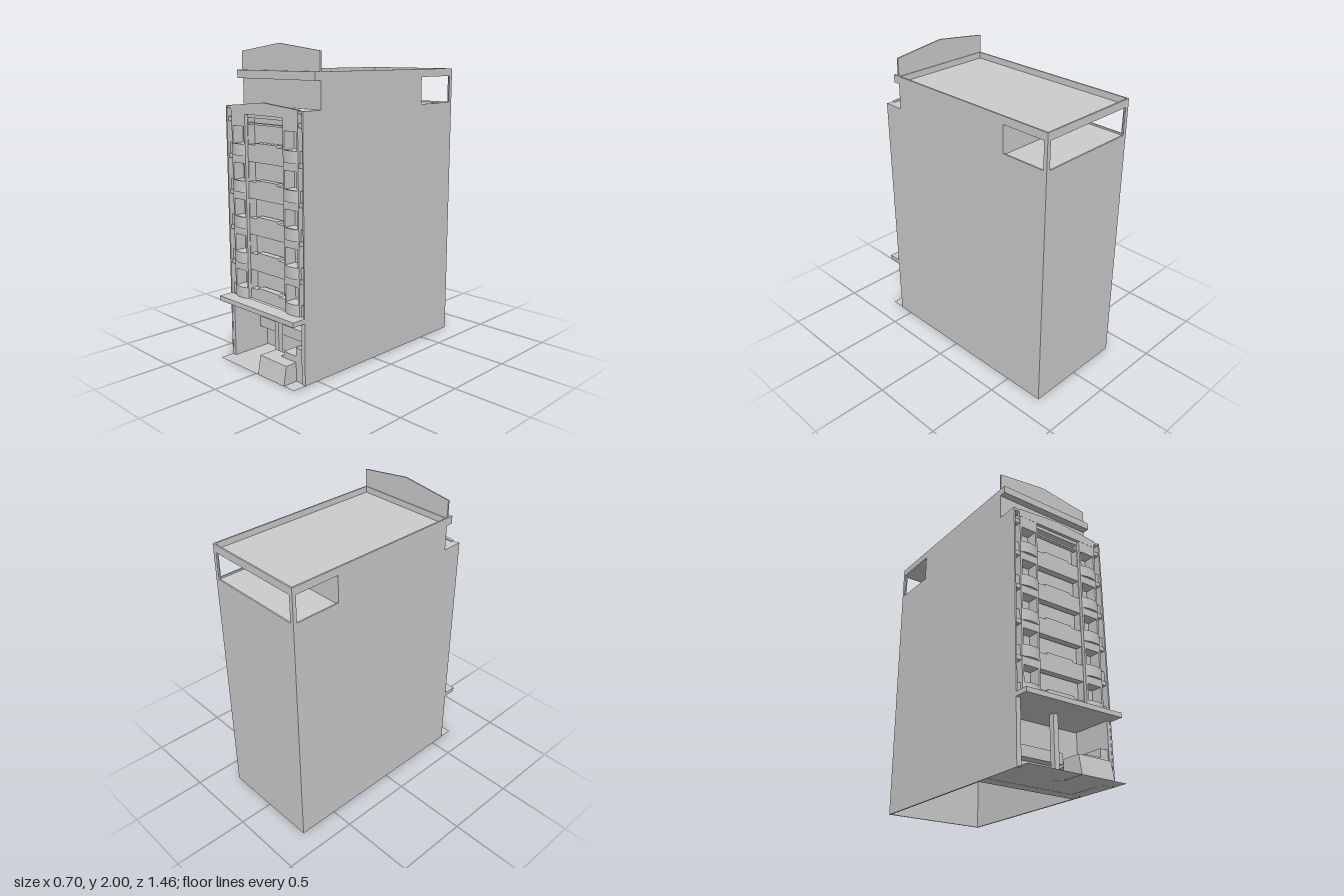
import * as THREE from 'three';
import { toCreasedNormals } from 'three/addons/utils/BufferGeometryUtils.js';

const mat = new THREE.MeshStandardMaterial({ color: 0xcccccc, side: THREE.DoubleSide });

export function createModel() {
  const model = new THREE.Group();

  const add = (name, geo, x = 0, y = 0, z = 0) => {
    const mesh = new THREE.Mesh(geo, mat);
    mesh.name = name;
    mesh.position.set(x, y, z);
    model.add(mesh);
    return mesh;
  };
  // Box given by its limits on each axis
  const box = (name, x0, x1, y0, y1, z0, z1) =>
    add(name, new THREE.BoxGeometry(x1 - x0, y1 - y0, z1 - z0), (x0 + x1) / 2, (y0 + y1) / 2, (z0 + z1) / 2);
  const poly = (pts) => pts.map(([x, y]) => new THREE.Vector2(x, y));
  const rect = (x0, x1, y0, y1) => [[x0, y0], [x1, y0], [x1, y1], [x0, y1]];
  // Plate with openings
  const plate = (pts, depth, holes = []) => {
    const shape = new THREE.Shape(poly(pts));
    holes.forEach((h) => shape.holes.push(new THREE.Path(poly(h))));
    return new THREE.ExtrudeGeometry(shape, { depth, bevelEnabled: false });
  };

  const W = 0.35, BACK = -0.77, FRONT = 0.6, T = 0.01;
  const FLOORS = 5, PITCH = 0.2275;
  const floors = Array.from({ length: FLOORS }, (_, i) => i * PITCH);

  // Side walls, stepped at the top front and open at the rear terrace
  const profile = [[BACK, 0], [FRONT, 0], [FRONT, 1.625], [0.46, 1.625], [0.46, 1.84], [BACK, 1.84]];
  for (const x of [W, -W + T]) {
    const geo = plate(profile, T, [rect(-0.745, -0.445, 1.615, 1.79)]);
    geo.rotateY(-Math.PI / 2);
    add('sideWall', geo, x);
  }

  // Rear wall with the wide terrace opening
  add('rearWall', plate(rect(-W + T, W - T, 0, 1.84), T, [rect(-0.325, 0.325, 1.615, 1.79)]), 0, 0, BACK);

  // Rear terrace and roof
  box('terraceFloor', -W + T, W - T, 1.59, 1.605, BACK + T, -0.445);
  box('terraceWall', -W + T, W - T, 1.605, 1.79, -0.445, -0.435);
  box('roof', -W + T, W - T, 1.79, 1.8, BACK + T, 0.46);

  // Set-back top storey, cornice and gable
  box('upperFrontWall', -W + T, W - T, 1.625, 1.79, 0.45, 0.46);
  box('cornice', -W, W, 1.79, 1.84, 0.45, 0.505);
  add('roofGable', plate([[-W, 1.84], [W, 1.84], [W, 1.955], [0, 2], [-W, 1.955]], 0.01), 0, 0, 0.455);
  box('frontLedge', -W + T, W - T, 1.61, 1.625, 0.45, 0.595);

  // Facade: recessed backing wall, centre panel and gable over the bays
  box('facadeBacking', -W + T, W - T, 0.39, 1.61, 0.51, 0.52);
  const centreHoles = floors.map((y, i) => {
    const b = 0.487 + y, t = i === FLOORS - 1 ? 1.56 : 0.61 + y;
    return [[-0.168, b], [-0.105, b], [-0.1, b + 0.013], [0.09, b + 0.013], [0.095, b], [0.168, b], [0.168, t], [-0.168, t]];
  });
  add('centrePanel', plate(rect(-0.175, 0.175, 0.42, 1.6), 0.045, centreHoles), 0, 0, 0.53);
  box('topWindowBar', -0.168, 0.168, 1.518, 1.53, 0.545, 0.57);
  add('facadeGable', plate([[-0.305, 1.58], [0.305, 1.58], [0.305, 1.63], [0, 1.657], [-0.305, 1.63]], 0.02), 0, 0, 0.577);

  // Bowed balcony front: flat at the back, curved outwards
  const bow = new THREE.Shape();
  bow.moveTo(-0.065, 0);
  bow.quadraticCurveTo(0, 0.032, 0.065, 0);
  bow.closePath();
  const bowGeo = toCreasedNormals(
    new THREE.ExtrudeGeometry(bow, { depth: 0.072, bevelEnabled: false, curveSegments: 14 }).rotateX(Math.PI / 2), 0.6);

  for (const s of [-1, 1]) {
    // Projecting bay with one window per floor
    const holes = floors.map((y) => rect(-0.052, 0.052, 0.487 + y, 0.596 + y));
    add('windowBay', plate(rect(-0.065, 0.065, 0.42, 1.6), 0.076, holes), s * 0.237, 0, 0.52);
    for (const y of floors) {
      add('bowedBalcony', bowGeo, s * 0.237, 0.489 + y, 0.596);
      // Narrow outer slot: sill and lintel
      const x = s * 0.321;
      box('outerSill', x - 0.02, x + 0.02, 0.42 + y, 0.487 + y, 0.52, 0.58);
      box('outerLintel', x - 0.02, x + 0.02, 0.62 + y, 0.648 + y, 0.52, 0.59);
    }
    // Entrance pier
    const px = s * 0.33;
    box('entrancePier', px - 0.012, px + 0.012, 0, 0.39, 0.33, FRONT - 0.002);
  }

  // Entrance: pavement, canopy, rear wall, ledge and post
  box('canopy', -W, W, 0.39, 0.42, 0.59, 0.69);
  box('entranceCeiling', -W + T, W - T, 0.39, 0.4, 0.31, 0.59);
  box('entranceRearWall', -W + T, W - T, 0, 0.39, 0.31, 0.325);
  box('rearLedge', -0.32, 0.15, 0.145, 0.215, 0.325, 0.39);
  box('sideBlock', 0.26, 0.32, 0, 0.215, 0.325, 0.59);
  box('post', -0.02, 0.015, 0, 0.39, 0.48, 0.515);
  const pavement = new THREE.PlaneGeometry(2 * W, 0.45).rotateX(-Math.PI / 2);
  add('pavement', pavement, 0, 0.001, 0.465);

  // Counter with a sloping front and a raised step behind it
  const counter = plate([[0.54, 0], [0.69, 0], [0.668, 0.12], [0.54, 0.12]], 0.24);
  counter.rotateY(-Math.PI / 2);
  add('counter', counter, 0.26);
  add('counterStep', plate([[0.11, 0.115], [0.26, 0.115], [0.26, 0.16], [0.15, 0.16], [0.15, 0.135]], 0.2), 0, 0, 0.39);

  return model;
}
